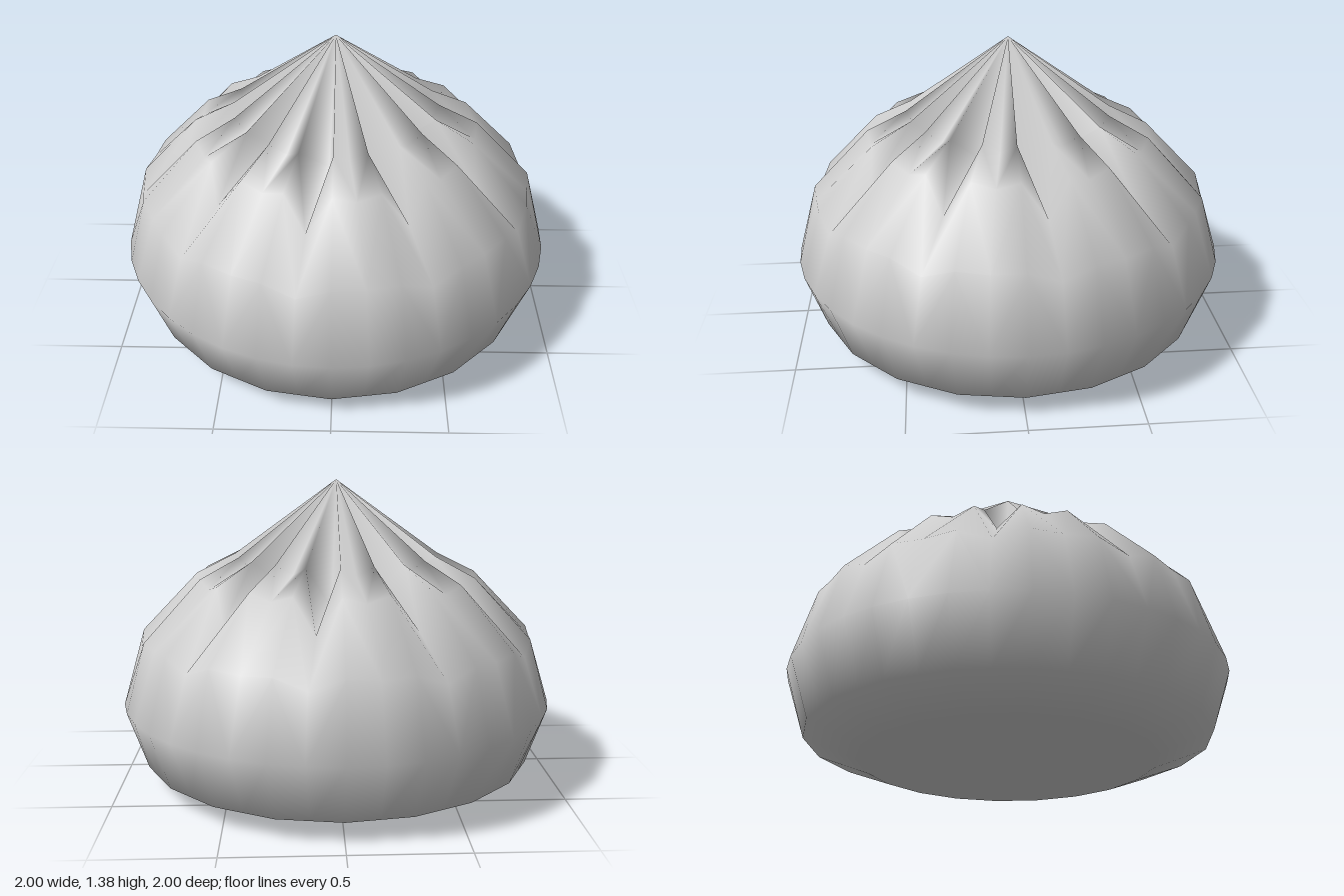
import * as THREE from 'three';

const SIDES = 40;
// Matching [radius, height] profiles, from the base centre to the tip
const RIDGE = [[0, 0], [0.66, 0], [0.91, 0.095], [1, 0.36], [0.91, 0.68], [0.65, 0.95], [0.47, 1.04], [0, 1.38]];
const SOFT_FOLD = [[0, 0], [0.652, 0], [0.899, 0.095], [1, 0.36], [0.9, 0.67], [0.64, 0.92], [0.44, 1.0], [0, 1.38]];
const DEEP_FOLD = [[0, 0], [0.652, 0], [0.899, 0.095], [1, 0.36], [0.91, 0.63], [0.7, 0.8], [0.17, 0.8], [0, 1.38]];
// Ridges stand every 18 degrees, with soft and deep folds taking turns between
const PATTERN = [RIDGE, SOFT_FOLD, RIDGE, DEEP_FOLD];

// Closed pleated surface built ring by ring around the axis
function pleatedBody() {
  const rings = RIDGE.length;
  const positions = [0, 0, 0], index = [];
  for (let r = 1; r < rings - 1; r++) {
    for (let s = 0; s < SIDES; s++) {
      const [radius, y] = PATTERN[s % 4][r];
      const a = (s / SIDES) * Math.PI * 2;
      positions.push(radius * Math.sin(a), y, radius * Math.cos(a));
    }
  }
  const tip = positions.length / 3;
  positions.push(0, RIDGE[rings - 1][1], 0);

  const at = (r, s) => 1 + (r - 1) * SIDES + (s % SIDES);
  for (let s = 0; s < SIDES; s++) {
    index.push(0, at(1, s + 1), at(1, s));
    for (let r = 1; r < rings - 2; r++) {
      const a = at(r, s), b = at(r, s + 1), c = at(r + 1, s + 1), d = at(r + 1, s);
      // Mirror the diagonal on each side of a ridge so the folds stay symmetric
      if (s % 2 || r < 3) index.push(a, b, c, a, c, d);
      else index.push(a, b, d, b, c, d);
    }
    index.push(at(rings - 2, s), at(rings - 2, s + 1), tip);
  }

  const geometry = new THREE.BufferGeometry();
  geometry.setAttribute('position', new THREE.Float32BufferAttribute(positions, 3));
  geometry.setIndex(index);
  geometry.computeVertexNormals();
  return geometry;
}

export function createModel() {
  const group = new THREE.Group();
  group.name = 'dumpling';
  const body = new THREE.Mesh(pleatedBody(), new THREE.MeshStandardMaterial({ color: 0xcccccc }));
  body.name = 'pleatedDough';
  group.add(body);
  return group;
}
